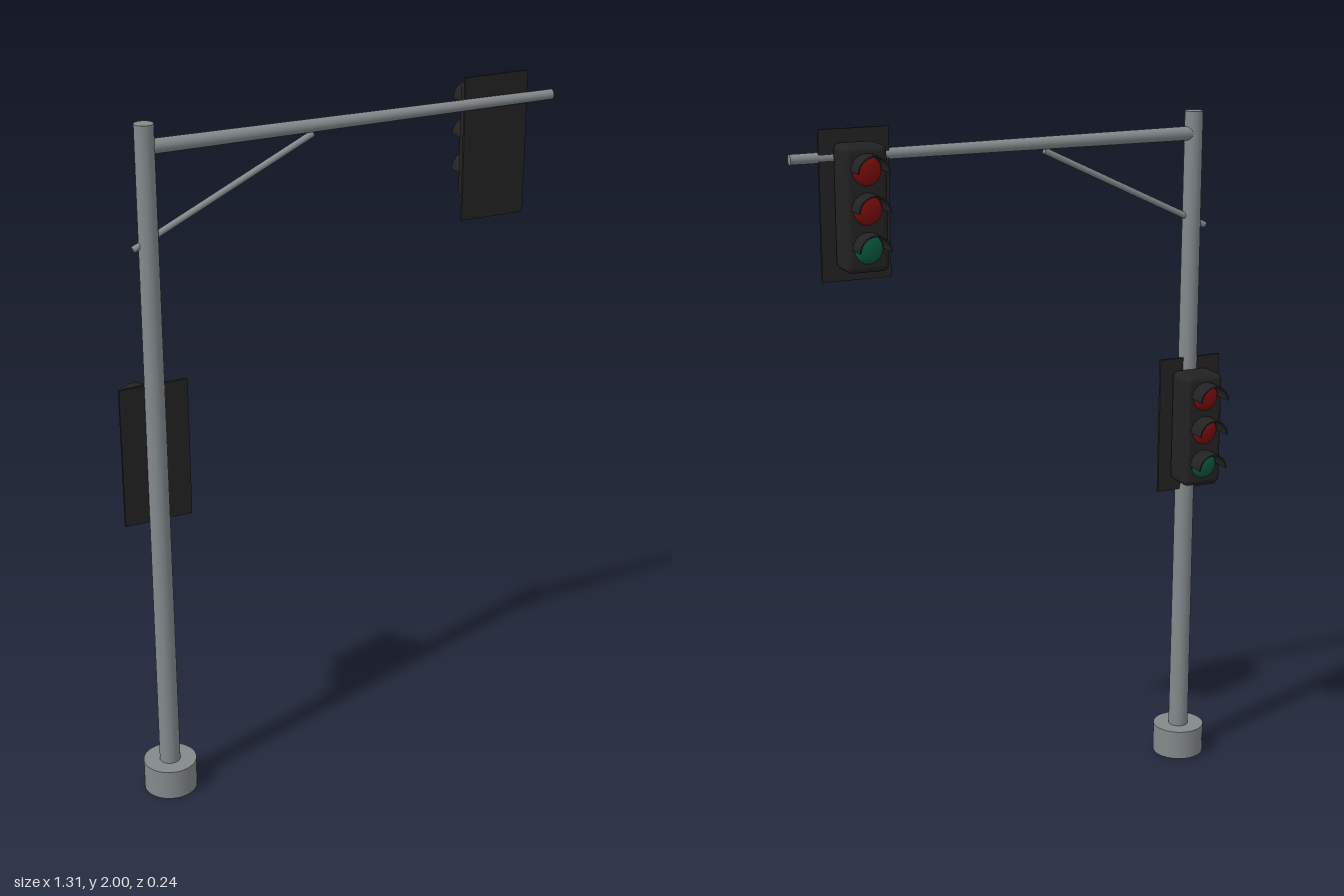
import * as THREE from 'three';
import { RoundedBoxGeometry } from 'three/addons/geometries/RoundedBoxGeometry.js';

const POLE_X = -0.557, POLE_Z = 0.045;

function material(name, color) {
  const m = new THREE.MeshStandardMaterial({ color });
  m.name = name;
  return m;
}

const steel = material('galvanised steel', 0x83898c);
const black = material('housing black', 0x222222);
const red = material('red lens', 0x7c0c0c);
const green = material('green lens', 0x08593f);

function add(parent, name, geometry, mat, x = 0, y = 0, z = 0) {
  const mesh = new THREE.Mesh(geometry, mat);
  mesh.name = name;
  mesh.position.set(x, y, z);
  parent.add(mesh);
  return mesh;
}

// Round bar running between two points, with a radius at each end
function bar(parent, name, from, to, r0, r1) {
  const a = new THREE.Vector3(...from), b = new THREE.Vector3(...to);
  const dir = b.clone().sub(a);
  const mesh = add(parent, name, new THREE.CylinderGeometry(r1, r0, dir.length(), 24), steel);
  mesh.position.copy(a).add(b).multiplyScalar(0.5);
  mesh.quaternion.setFromUnitVectors(new THREE.Vector3(0, 1, 0), dir.normalize());
}

// Half-tunnel hood: upper half of a thin ring, extruded
function hoodGeometry() {
  const shape = new THREE.Shape();
  shape.absarc(0, 0, 0.045, 0, Math.PI, false);
  shape.absarc(0, 0, 0.041, Math.PI, 0, true);
  return new THREE.ExtrudeGeometry(shape, { depth: 0.064, bevelEnabled: false, curveSegments: 20 });
}

// Three-lamp signal head whose lenses look towards -z
function signalHead(name, x, y) {
  const head = new THREE.Group();
  head.name = name;
  head.position.set(x, y, 0);
  add(head, 'backplate', new THREE.BoxGeometry(0.196, 0.405, 0.008), black, 0, 0, 0.034);
  add(head, 'housing', new RoundedBoxGeometry(0.12, 0.335, 0.1, 4, 0.018), black, 0, 0, -0.015);

  const hood = hoodGeometry();
  const lens = new THREE.SphereGeometry(0.04, 24, 16);
  lens.scale(1, 1, 0.35);
  [red, red, green].forEach((mat, i) => {
    const lampY = (1 - i) * 0.103;
    add(head, 'lens', lens, mat, 0, lampY, -0.063);
    add(head, 'hood', hood, black, 0, lampY, -0.122);
  });
  return head;
}

export function createModel() {
  const model = new THREE.Group();
  model.name = 'trafficSignal';

  // Footing, mast, arm and diagonal brace
  add(model, 'footing', new THREE.CylinderGeometry(0.077, 0.077, 0.09, 32), steel, POLE_X, 0.045, POLE_Z);
  bar(model, 'mast', [POLE_X, 0.08, POLE_Z], [POLE_X, 1.99, POLE_Z], 0.03, 0.026);
  bar(model, 'arm', [POLE_X, 1.927, 0.042], [0.65, 1.925, 0.042], 0.02, 0.014);
  bar(model, 'brace', [-0.6, 1.66, 0.043], [-0.085, 1.905, 0.043], 0.009, 0.009);

  // Signal heads on the mast and near the end of the arm
  model.add(signalHead('mastSignal', POLE_X, 1.07));
  model.add(signalHead('armSignal', 0.475, 1.7975));
  return model;
}
